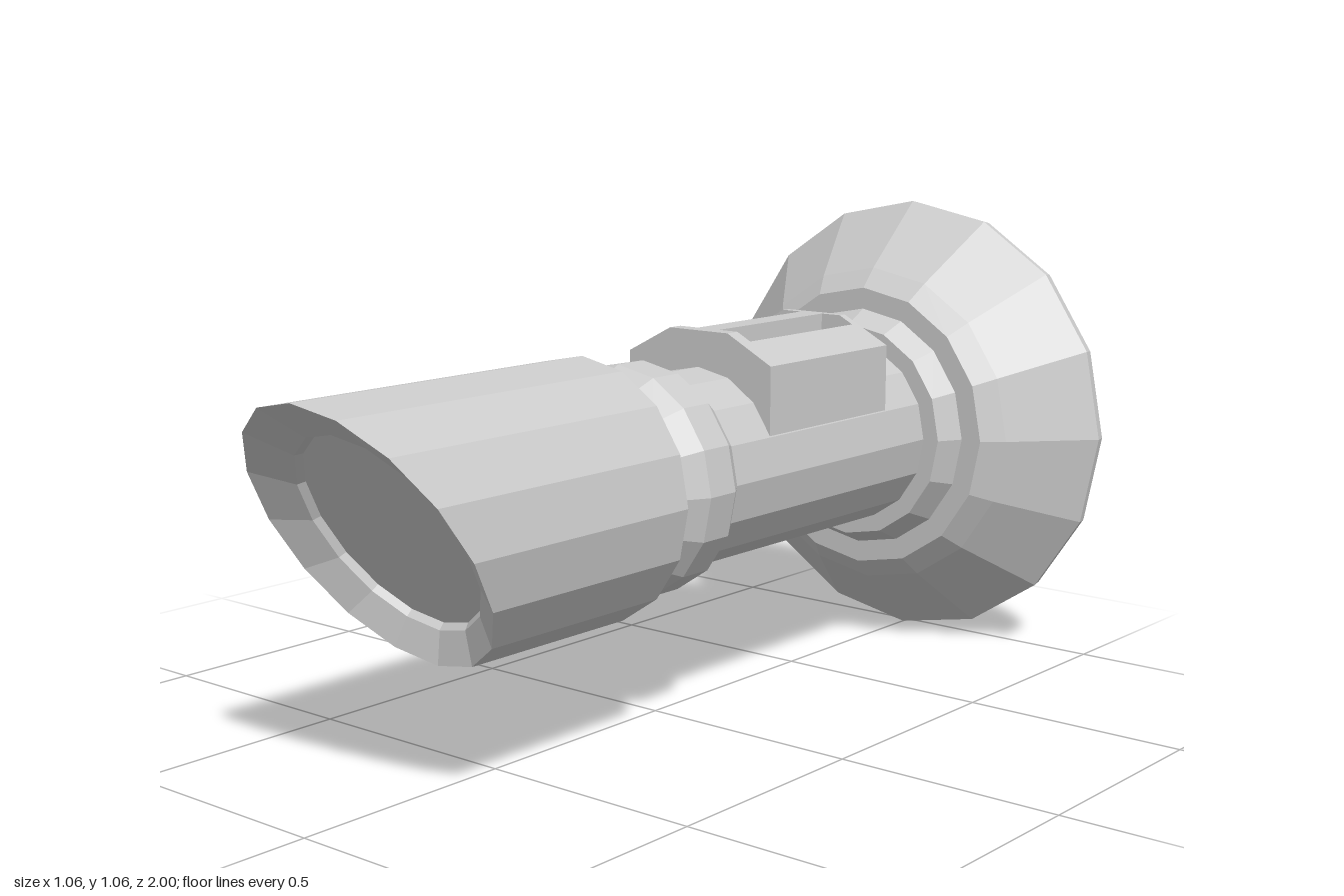
import * as THREE from 'three';

const AXIS = 0.53;   // height of the centre line
const SIDES = 16;

export function createModel() {
  const group = new THREE.Group();
  const material = new THREE.MeshStandardMaterial({ color: 0xcccccc, flatShading: true });

  const add = (name, geometry, parent = group) => {
    const mesh = new THREE.Mesh(geometry, material);
    mesh.name = name;
    parent.add(mesh);
    return mesh;
  };

  // Faceted solid of revolution along z, from [radius, z] pairs running back to front
  const turned = (profile) =>
    new THREE.LatheGeometry(profile.map(([r, z]) => new THREE.Vector2(r, z)), SIDES).rotateX(Math.PI / 2);

  // Wide base flange with a stepped collar
  add('baseFlange', turned([
    [0, -1], [0.525, -1], [0.53, -0.975], [0.38, -0.81], [0.335, -0.77], [0.285, -0.77],
    [0.255, -0.715], [0.2, -0.715],
  ])).position.y = AXIS;

  // Slim shaft with a rounded ring
  add('shaft', turned([
    [0.215, -0.73], [0.215, -0.01], [0.25, 0.04], [0.25, 0.12], [0.215, 0.185],
  ])).position.y = AXIS;

  // Nozzle: a tube with a dished front, sheared to a slanted cut
  const nozzle = turned([
    [0.215, 0.185], [0.28, 0.23], [0.28, 1], [0.21, 0.95], [0.203, 0.935], [0, 0.935],
  ]);
  const p = nozzle.attributes.position;
  for (let i = 0; i < p.count; i++) {
    const y = p.getY(i), z = p.getZ(i);
    if (z < 0.6) continue;
    p.setZ(i, z - (0.28 - y) * 0.62);
    if (z < 0.94) p.setY(i, y + 0.007);
  }
  add('nozzle', nozzle).position.y = AXIS;

  // Raised housing on top of the shaft, with two slots
  const housing = new THREE.Group();
  housing.name = 'slottedHousing';
  group.add(housing);
  const back = -0.58, front = -0.145, slotBack = -0.56, slotFront = -0.18, floor = 0.755;
  const crown = (x) => 0.825 - Math.max(0, Math.abs(x) - 0.08) * 0.52;

  // Block between the first and last x, its top following the given height rule
  const slab = (name, xs, z0, z1, top) => {
    const shape = new THREE.Shape();
    shape.moveTo(xs[0], AXIS);
    shape.lineTo(xs[xs.length - 1], AXIS);
    for (const x of [...xs].reverse()) shape.lineTo(x, top(x));
    shape.closePath();
    const geometry = new THREE.ExtrudeGeometry(shape, { depth: z1 - z0, bevelEnabled: false });
    add(name, geometry.translate(0, 0, z0), housing);
  };

  slab('middleRib', [-0.03, 0.03], back, front, crown);
  for (const s of [-1, 1]) {
    const span = (...xs) => xs.map((x) => s * x).sort((a, b) => a - b);
    slab('sideRib', span(0.115, 0.197), back, front, crown);
    slab('slotBackEnd', span(0.03, 0.08, 0.115), back, slotBack, crown);
    slab('slotFrontEnd', span(0.03, 0.08, 0.115), slotFront, front, crown);
    slab('slotFloor', span(0.03, 0.115), slotBack, slotFront, () => floor);
  }

  return group;
}
